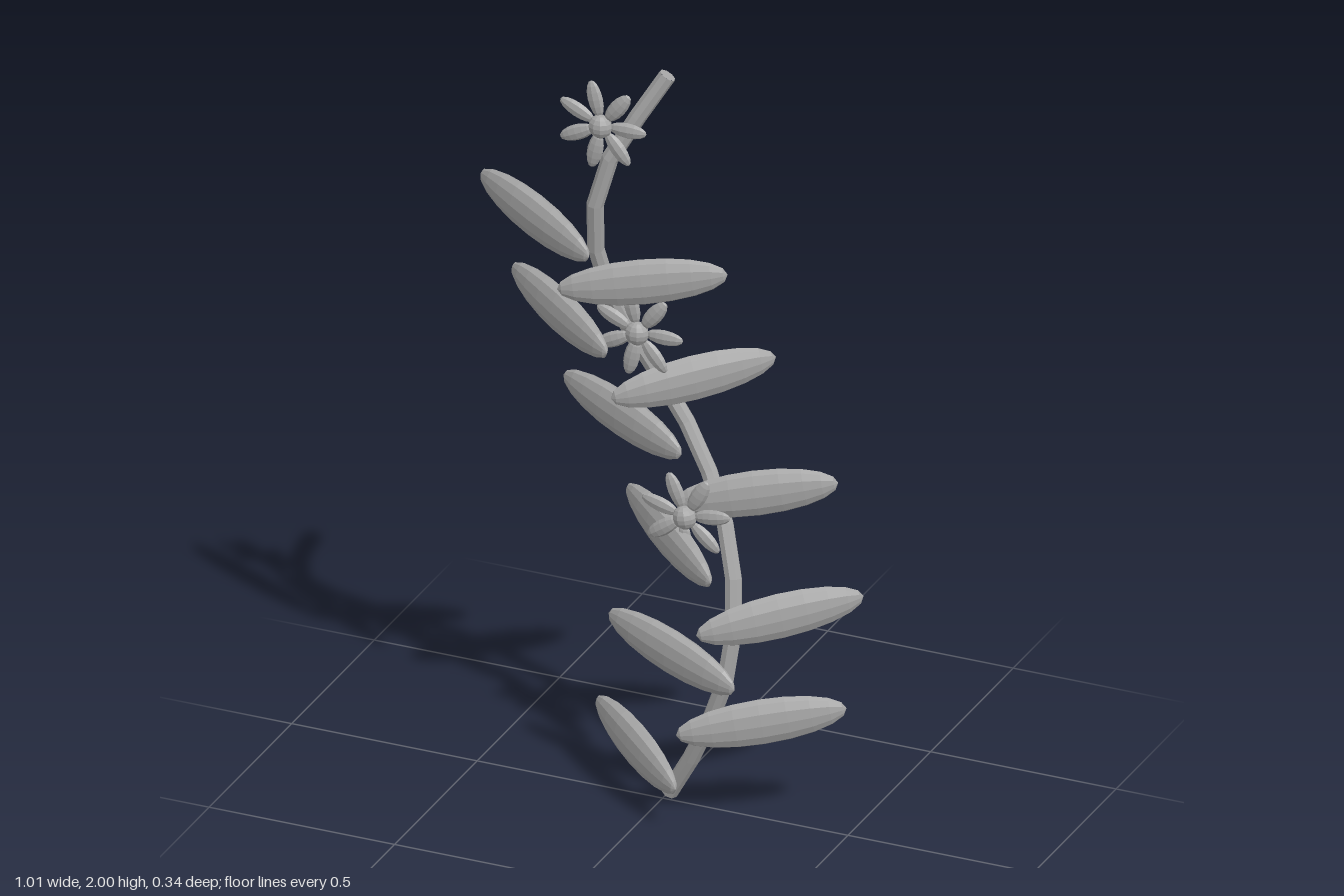
import * as THREE from 'three';

const grey = new THREE.MeshStandardMaterial({ color: 0xa6a6a6, flatShading: true });
grey.name = 'plain grey';

const V = (p) => new THREE.Vector3(...p);

// Winding centre line of the vine, bottom to top
const PATH = [
  [0.01, 0.01, -0.02], [0.085, 0.14, 0.005], [0.155, 0.29, 0.03], [0.195, 0.42, 0.035],
  [0.2, 0.56, 0.015], [0.175, 0.7, -0.02], [0.115, 0.85, -0.06], [0.03, 1.0, -0.085],
  [-0.08, 1.17, -0.08], [-0.14, 1.31, -0.035], [-0.17, 1.45, 0.005], [-0.17, 1.57, 0.035],
  [-0.145, 1.71, 0.038], [-0.08, 1.84, 0.015], [0.005, 1.985, -0.02],
];

// Leaves: outer tip, inner tip
const LEAVES = [
  [[-0.215, 0.188, -0.085], [0.11, 0.122, 0.168]],
  [[0.485, 0.335, -0.025], [0.105, 0.265, 0.155]],
  [[-0.15, 0.475, -0.01], [0.25, 0.405, 0.125]],
  [[0.505, 0.622, -0.083], [0.155, 0.545, 0.145]],
  [[-0.155, 0.765, -0.133], [0.18, 0.68, 0.112]],
  [[0.42, 0.9, -0.12], [0.04, 0.83, 0.02]],
  [[-0.33, 1.035, -0.142], [0.06, 0.968, 0.02]],
  [[0.23, 1.185, -0.17], [-0.105, 1.115, 0.077]],
  [[-0.46, 1.315, -0.122], [-0.105, 1.25, 0.1]],
  [[0.16, 1.46, -0.035], [-0.24, 1.4, 0.1]],
  [[-0.505, 1.605, -0.032], [-0.13, 1.535, 0.153]],
];

// Blossoms: centre, turn in the plane
const FLOWERS = [
  [[-0.13, 1.865, 0.08], 0],
  [[-0.055, 1.285, 0.027], 0],
  [[0.075, 0.805, 0.03], 0.16],
];

function add(parent, geometry, name) {
  const mesh = new THREE.Mesh(geometry, grey);
  mesh.name = name;
  parent.add(mesh);
  return mesh;
}

// Ellipsoid with its poles on the x axis
function ellipsoid(length, height, depth, around, along) {
  return new THREE.SphereGeometry(1, around, along).rotateZ(Math.PI / 2).scale(length, height, depth);
}

function buildVine() {
  const vine = new THREE.Group();
  vine.name = 'vine';
  const curve = new THREE.CatmullRomCurve3(PATH.map(V));
  add(vine, new THREE.TubeGeometry(curve, 16, 0.022, 8), 'stem');
  // Flat discs closing both ends
  for (const t of [0, 1]) {
    const cap = add(vine, new THREE.CircleGeometry(0.022, 8), 'stemEnd');
    cap.position.copy(curve.getPointAt(t));
    const outward = curve.getTangentAt(t).multiplyScalar(t ? 1 : -1);
    cap.quaternion.setFromUnitVectors(new THREE.Vector3(0, 0, 1), outward);
  }
  return vine;
}

// Upright blade: long between its tips, thin sideways
function buildLeaf([outer, inner]) {
  const a = V(outer), b = V(inner);
  const x = b.clone().sub(a).normalize();
  if (x.x < 0) x.negate();
  const z = new THREE.Vector3().crossVectors(x, new THREE.Vector3(0, 1, 0)).normalize();
  const y = new THREE.Vector3().crossVectors(z, x);
  const leaf = new THREE.Mesh(ellipsoid(a.distanceTo(b) / 2, 0.062, 0.029, 12, 10), grey);
  leaf.name = 'leaf';
  leaf.quaternion.setFromRotationMatrix(new THREE.Matrix4().makeBasis(x, y, z));
  leaf.position.copy(a).add(b).multiplyScalar(0.5);
  return leaf;
}

// Seven petals around a round centre
function buildFlower([centre, turn]) {
  const flower = new THREE.Group();
  flower.name = 'flower';
  const petal = ellipsoid(0.05, 0.021, 0.013, 8, 8).translate(0.072, 0, 0);
  for (let i = 0; i < 7; i++) {
    add(flower, petal, 'petal').rotation.z = (i / 7) * Math.PI * 2;
  }
  add(flower, new THREE.SphereGeometry(0.031, 10, 8).scale(1, 1, 0.8), 'flowerCentre').position.z = 0.005;
  flower.position.copy(V(centre));
  flower.rotation.z = turn;
  return flower;
}

export function createModel() {
  const model = new THREE.Group();
  model.name = 'floweringVine';
  model.add(buildVine());
  LEAVES.forEach((l) => model.add(buildLeaf(l)));
  FLOWERS.forEach((f) => model.add(buildFlower(f)));
  return model;
}
